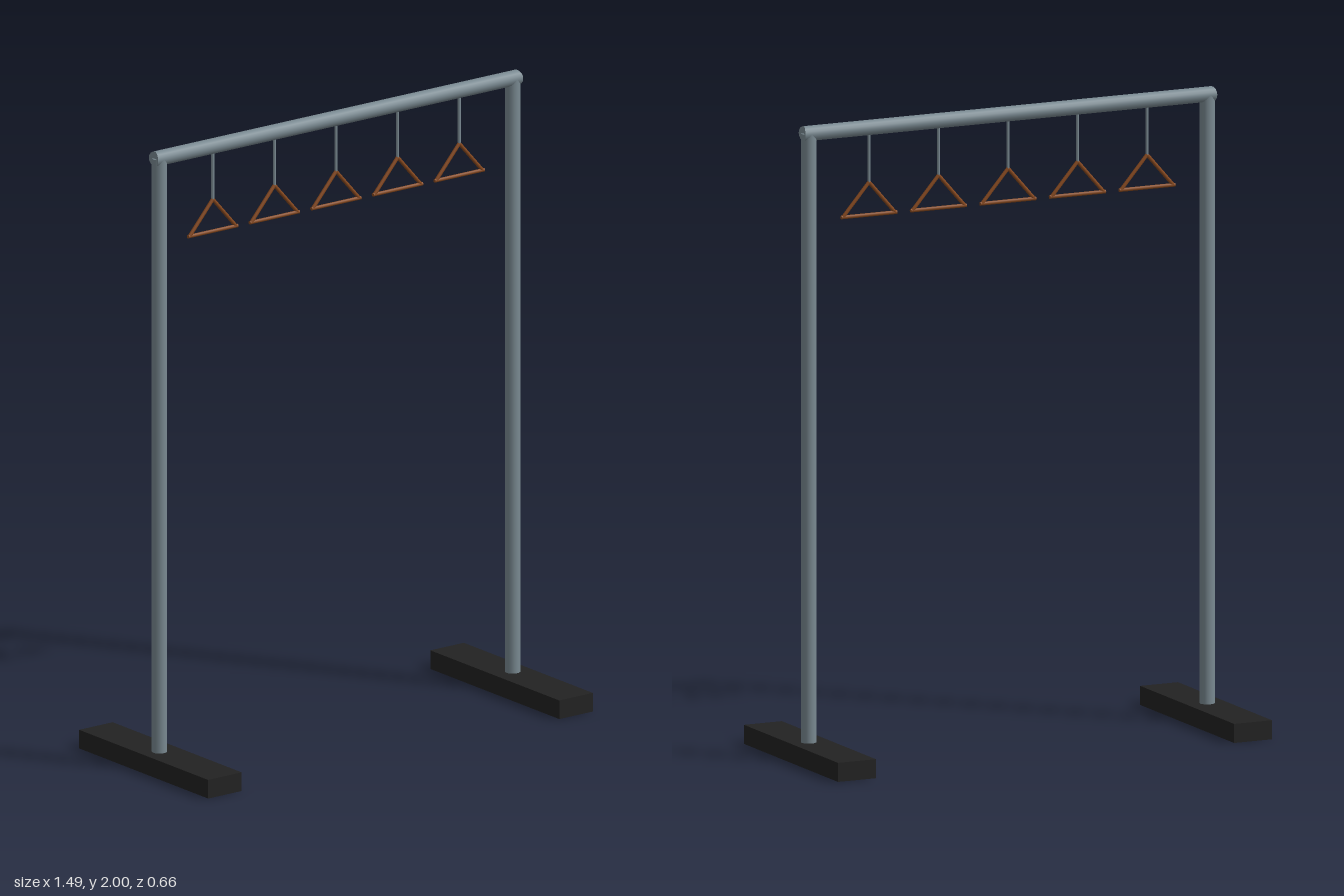
import * as THREE from 'three';

export function createModel() {
  const model = new THREE.Group();
  model.name = 'hangingRack';

  const steel = new THREE.MeshStandardMaterial({ color: 0x7a8a92 });
  steel.name = 'greySteel';
  const rubber = new THREE.MeshStandardMaterial({ color: 0x222222 });
  rubber.name = 'blackBase';
  const wood = new THREE.MeshStandardMaterial({ color: 0x87491f });
  wood.name = 'brownWood';

  const UP = new THREE.Vector3(0, 1, 0);

  // Round rod between two points
  function rod(name, a, b, radius, material, sides = 16) {
    const from = new THREE.Vector3(...a);
    const dir = new THREE.Vector3(...b).sub(from);
    const mesh = new THREE.Mesh(
      new THREE.CylinderGeometry(radius, radius, dir.length(), sides), material);
    mesh.position.copy(from).addScaledVector(dir, 0.5);
    mesh.quaternion.setFromUnitVectors(UP, dir.normalize());
    mesh.name = name;
    return mesh;
  }

  const R = 0.024, postX = 0.685, barY = 2 - R;

  // Top bar, its ends hollowed slightly to a saddle
  const bar = rod('topBar', [-0.708, barY, 0], [0.708, barY, 0], R, steel);
  const p = bar.geometry.attributes.position;
  for (let i = 0; i < p.count; i++) {
    const inset = 0.007 * (1 - Math.abs(p.getZ(i)) / R);
    p.setY(i, p.getY(i) - Math.sign(p.getY(i)) * inset);
  }
  model.add(bar);

  // Posts and feet on both sides
  for (const [side, s] of [['left', 1], ['right', -1]]) {
    model.add(rod(side + 'Post', [s * postX, 0.05, 0], [s * postX, barY, 0], R, steel));
    const foot = new THREE.Mesh(new THREE.BoxGeometry(0.13, 0.06, 0.656), rubber);
    foot.position.set(s * 0.681, 0.03, 0);
    foot.name = side + 'Foot';
    model.add(foot);
  }

  // Row of five triangular hangers
  for (let i = -2; i <= 2; i++) {
    const hanger = new THREE.Group();
    hanger.name = 'hanger' + (i + 3);
    hanger.position.x = i * 0.239;
    const apex = [0, 1.804, 0], l = [0.09, 1.701, 0], r = [-0.09, 1.701, 0];
    hanger.add(
      rod('hangerStem', [0, 1.804, 0], [0, 1.965, 0], 0.005, steel, 8),
      rod('leftShoulder', apex, l, 0.006, wood, 8),
      rod('rightShoulder', apex, r, 0.006, wood, 8),
      rod('crossbar', [-0.096, 1.701, 0], [0.096, 1.701, 0], 0.006, wood, 8));
    model.add(hanger);
  }

  return model;
}
